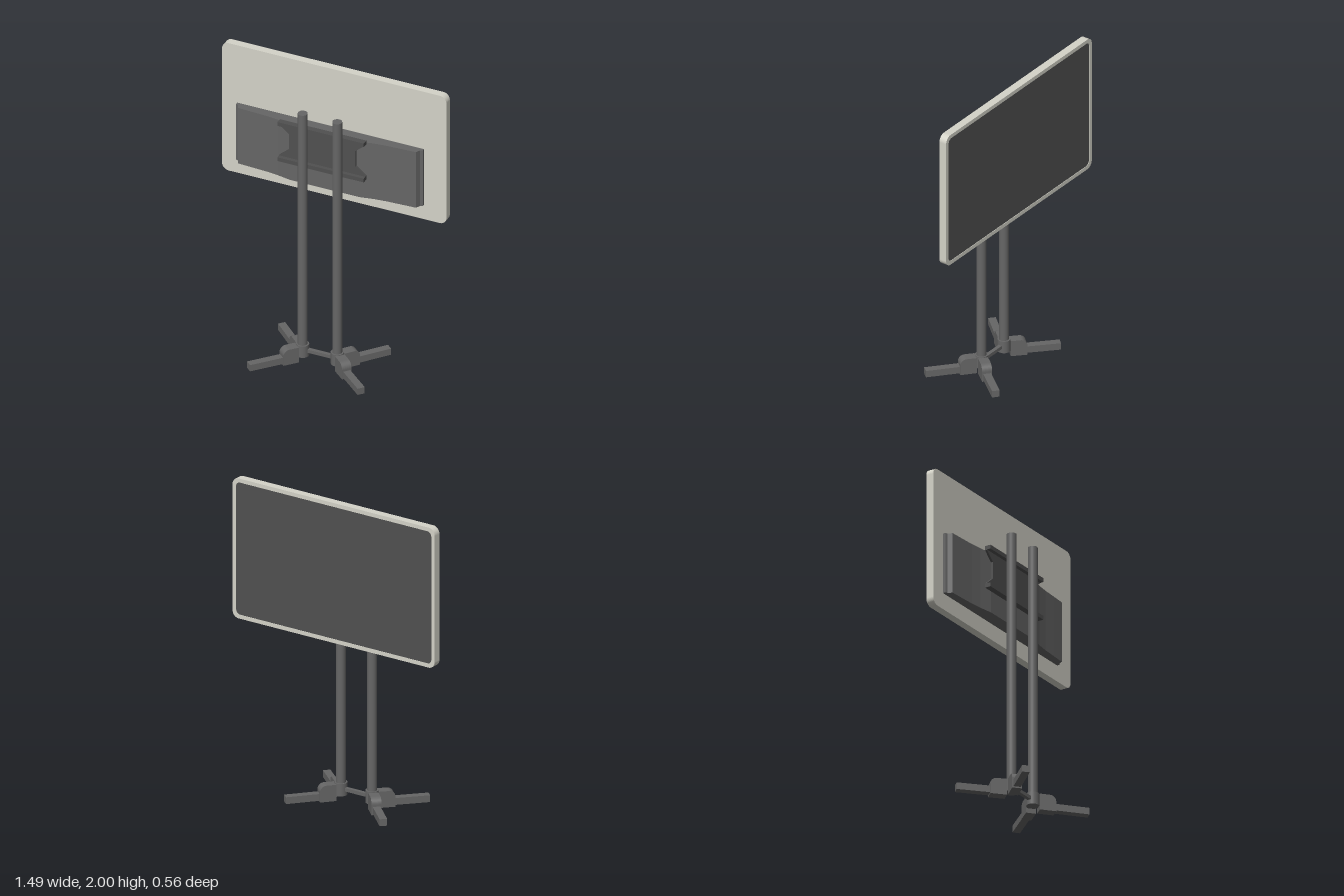
import * as THREE from 'three';

const dark = new THREE.MeshStandardMaterial({ color: 0x666666 });
const darker = new THREE.MeshStandardMaterial({ color: 0x505050 });
const pale = new THREE.MeshStandardMaterial({ color: 0xd4d3c8 });

function add(parent, name, geometry, material, x = 0, y = 0, z = 0) {
  const mesh = new THREE.Mesh(geometry, material);
  mesh.name = name;
  mesh.position.set(x, y, z);
  parent.add(mesh);
  return mesh;
}

function roundedRect(w, h, r) {
  const s = new THREE.Shape();
  const x = w / 2, y = h / 2;
  s.absarc(x - r, y - r, r, 0, Math.PI / 2);
  s.absarc(-x + r, y - r, r, Math.PI / 2, Math.PI);
  s.absarc(-x + r, -y + r, r, Math.PI, Math.PI * 1.5);
  s.absarc(x - r, -y + r, r, Math.PI * 1.5, Math.PI * 2);
  s.closePath();
  return s;
}

const polygon = (pts) => new THREE.Shape(pts.map(([x, y]) => new THREE.Vector2(x, y)));
const extrude = (shape, depth) =>
  new THREE.ExtrudeGeometry(shape, { depth, bevelEnabled: false, curveSegments: 10 });

// Display: pale casing with a rim around a slightly recessed screen facing -z
function makeDisplay() {
  const g = new THREE.Group();
  g.name = 'display';
  g.position.set(0, 1.548, 0);
  const w = 1.49, h = 0.905;
  add(g, 'casing', extrude(roundedRect(w, h, 0.045), 0.044), pale, 0, 0, -0.204);
  const rim = roundedRect(w, h, 0.045);
  rim.holes.push(roundedRect(w - 0.05, h - 0.05, 0.03));
  add(g, 'rim', extrude(rim, 0.006), pale, 0, 0, -0.21);
  add(g, 'screen', extrude(roundedRect(w - 0.05, h - 0.05, 0.03), 0.003), darker, 0, 0, -0.207);
  return g;
}

// Rear housing: a symmetric plan outline extruded upwards
function makeHousing() {
  const half = [[0.62, 0.158], [0.62, 0.141], [0.605, 0.134], [0.592, 0.106],
    [0.5, 0.101], [0.4, 0.096], [0.32, 0.087], [0.23, 0.07]];
  const outline = [...half, ...half.map(([x, z]) => [-x, z]).reverse()];
  const geo = extrude(polygon(outline), 0.395);
  geo.rotateX(-Math.PI / 2);
  const mesh = new THREE.Mesh(geo, dark);
  mesh.name = 'rearHousing';
  mesh.position.set(-0.023, 1.2, 0);
  return mesh;
}

// Mounting bracket: waisted plate with a flange above and below
function makeBracket() {
  const g = new THREE.Group();
  g.name = 'mountBracket';
  g.position.set(-0.031, 1.477, 0);
  const plate = polygon([[-0.287, -0.137], [0.287, -0.137], [0.287, -0.11], [0.222, -0.055],
    [0.222, 0.055], [0.287, 0.11], [0.287, 0.137], [-0.287, 0.137], [-0.287, 0.11],
    [-0.222, 0.055], [-0.222, -0.055], [-0.287, -0.11]]);
  add(g, 'plate', extrude(plate, 0.014), darker, 0, 0, -0.07);
  for (const s of [-1, 1]) {
    add(g, s > 0 ? 'topFlange' : 'bottomFlange',
      new THREE.BoxGeometry(0.574, 0.026, 0.038), darker, 0, s * 0.125, -0.05);
  }
  return g;
}

// Foot: a clamp block with a rounded shoulder and a flat bar, pointing along local +x
function makeFoot(name, x, endX, endZ) {
  const g = new THREE.Group();
  g.name = name;
  g.position.x = x;
  g.rotation.y = Math.atan2(-endZ, endX - x);
  const length = Math.hypot(endX - x, endZ);
  const block = new THREE.Shape();
  block.moveTo(0.036, 0.005);
  block.lineTo(0.138, 0.005);
  block.lineTo(0.138, 0.07);
  block.absarc(0.098, 0.07, 0.04, 0, Math.PI / 2);
  block.lineTo(0.036, 0.11);
  block.closePath();
  add(g, 'clampBlock', extrude(block, 0.062), dark, 0, 0, -0.031);
  const start = 0.1;
  add(g, 'footBar', new THREE.BoxGeometry(length - start, 0.044, 0.047), dark,
    (length + start) / 2, 0.036, 0);
  return g;
}

export function createModel() {
  const model = new THREE.Group();
  model.name = 'displayStand';
  model.add(makeDisplay(), makeHousing(), makeBracket());

  // Two poles with hubs and splayed feet
  const stands = [
    { side: 'right', x: -0.135, feet: { front: [-0.372, 0.262], back: [-0.386, -0.237] } },
    { side: 'left', x: 0.095, feet: { front: [0.36, 0.227], back: [0.317, -0.268] } },
  ];
  for (const { side, x, feet } of stands) {
    add(model, side + 'Pole', new THREE.CylinderGeometry(0.03, 0.03, 1.715, 32), dark, x, 0.8875, 0);
    add(model, side + 'Hub', new THREE.CylinderGeometry(0.04, 0.04, 0.08, 32), dark, x, 0.07, 0);
    for (const [end, [ex, ez]] of Object.entries(feet)) {
      model.add(makeFoot(side + end[0].toUpperCase() + end.slice(1) + 'Foot', x, ex, ez));
    }
  }

  // Bar tying the two hubs together
  add(model, 'crossBar', new THREE.BoxGeometry(0.2, 0.022, 0.024), dark, -0.02, 0.07, 0);

  // Sit the feet on the ground
  model.children.forEach((c) => { if (c.name.endsWith('Foot')) c.position.y = -0.005; });
  return model;
}
